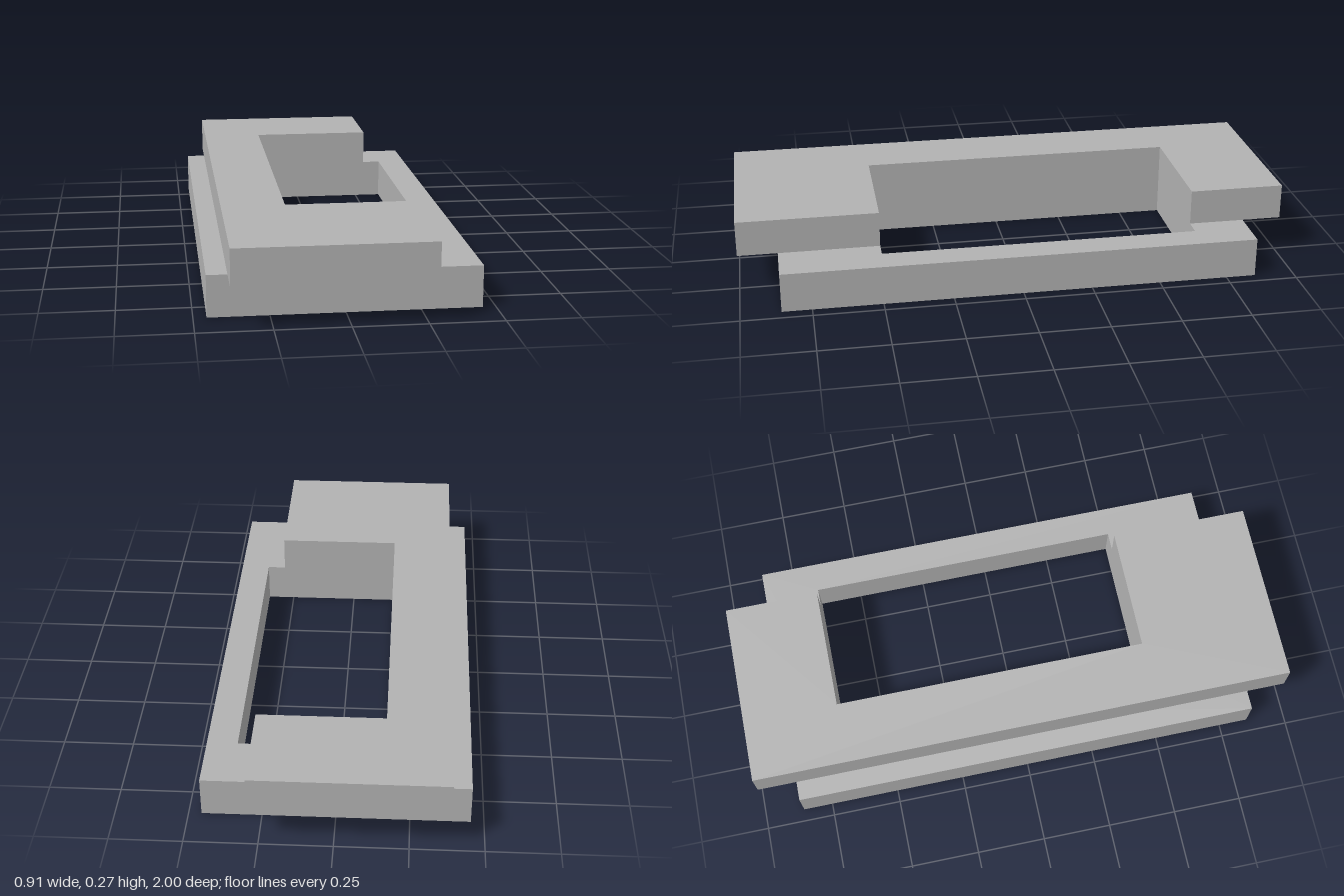
import * as THREE from 'three';

// Turns a plan outline of [x, z] points, with optional hole, into a flat slab
function slab(name, outline, hole, bottom, height, material) {
  const toPoints = (pts) => pts.map(([x, z]) => new THREE.Vector2(x, -z));
  const shape = new THREE.Shape(toPoints(outline));
  if (hole) shape.holes.push(new THREE.Path(toPoints(hole)));
  const geometry = new THREE.ExtrudeGeometry(shape, { depth: height, bevelEnabled: false });
  geometry.rotateX(-Math.PI / 2);
  geometry.translate(0, bottom, 0);
  const mesh = new THREE.Mesh(geometry, material);
  mesh.name = name;
  return mesh;
}

const rectangle = (x0, x1, z0, z1) => [[x0, z1], [x1, z1], [x1, z0], [x0, z0]];

export function createModel() {
  const group = new THREE.Group();
  group.name = 'steppedFrame';
  const grey = new THREE.MeshStandardMaterial({ color: 0xb2b2b2 });
  grey.name = 'grey';

  // Opening shared by both layers
  const left = -0.164, right = 0.349, back = -0.655, front = 0.493;
  const baseHeight = 0.144, topHeight = 0.129;

  // Lower closed frame
  group.add(slab('baseFrame', rectangle(-0.456, 0.456, -0.857, 0.857),
    rectangle(left, right, back, front), 0, baseHeight, grey));

  // Upper C-shaped layer, open towards +x
  const x0 = -0.386, x1 = 0.283;
  group.add(slab('upperBracket', [
    [x0, 1], [x1, 1], [x1, front], [left, front],
    [left, back], [x1, back], [x1, -1], [x0, -1],
  ], null, baseHeight, topHeight, grey));

  return group;
}
